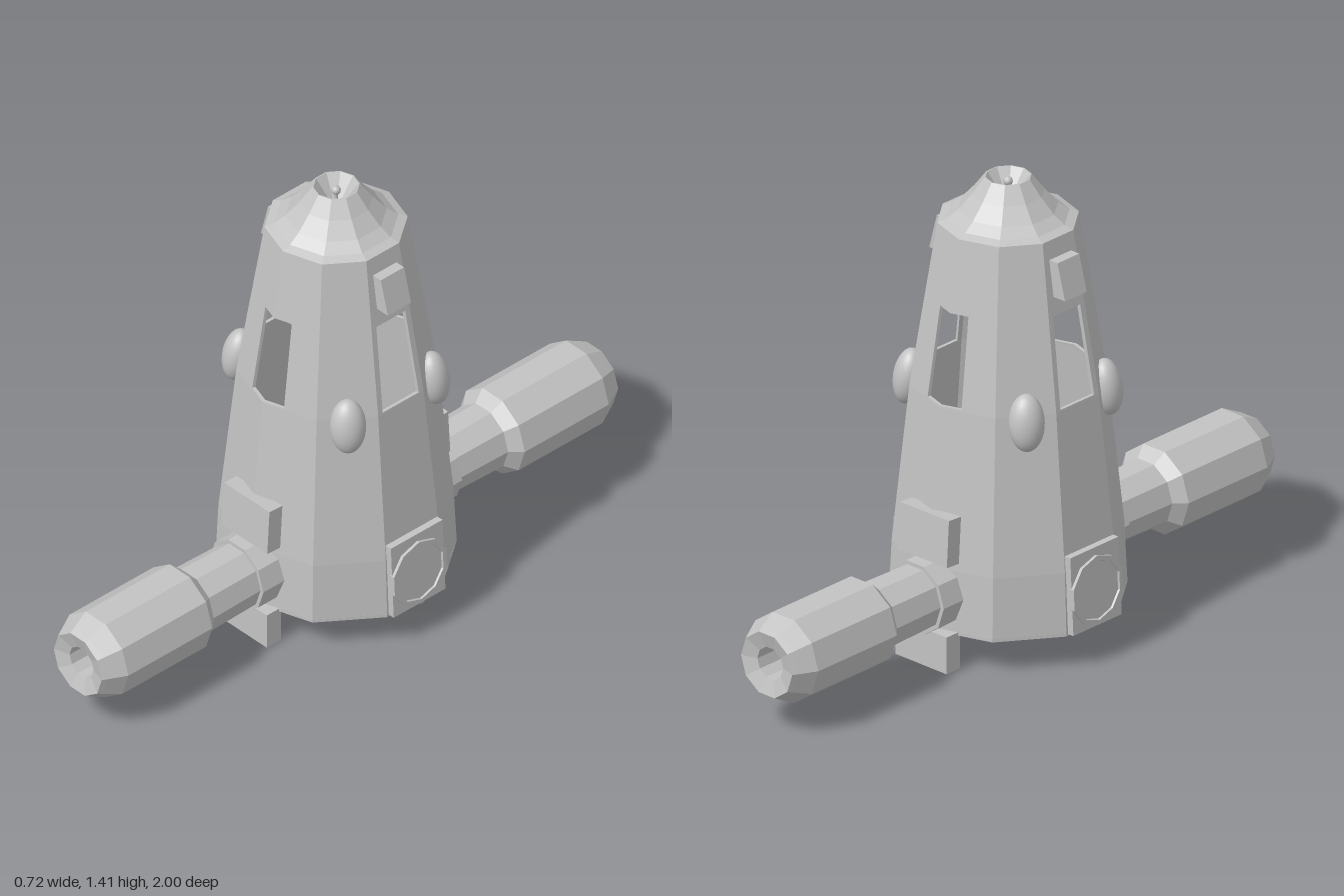
import * as THREE from 'three';

const SIDES = 10, HALF = Math.PI / SIDES, WALL = 0.01;
const BORE = 0.05, BORE_Y = 0.217;
// Tower profile: height and corner radius, bottom to top
const PROFILE = [[0.11, 0.345], [0.3, 0.336], [0.78, 0.285], [1.28, 0.205]];

export function createModel() {
  const model = new THREE.Group();
  const grey = new THREE.MeshStandardMaterial({ color: 0xc3c3c3 });
  grey.name = 'grey';

  const add = (parent, name, geometry, x = 0, y = 0, z = 0, tilt = 0) => {
    const mesh = new THREE.Mesh(geometry, grey);
    mesh.name = name;
    mesh.position.set(x, y, z);
    mesh.rotation.x = tilt;
    parent.add(mesh);
  };
  const turned = (name, angle) => {
    const g = new THREE.Group();
    g.name = name;
    g.rotation.y = angle;
    model.add(g);
    return g;
  };
  const flat = (geometry) => {
    const g = geometry.index ? geometry.toNonIndexed() : geometry;
    g.computeVertexNormals();
    return g;
  };
  const lathe = (pts, start = 0) =>
    flat(new THREE.LatheGeometry(pts.map(([r, y]) => new THREE.Vector2(r, y)), SIDES, start));

  // Corner radius of the tower at a height, its apothem and half face width
  const radius = (y) => {
    const i = y < PROFILE[1][0] ? 0 : y < PROFILE[2][0] ? 1 : 2;
    const [ya, ra] = PROFILE[i], [yb, rb] = PROFILE[i + 1];
    return ra + (rb - ra) * (y - ya) / (yb - ya);
  };
  const apothem = (y) => radius(y) * Math.cos(HALF);
  const half = (y) => radius(y) * Math.sin(HALF);

  // One wall panel; a notch is cut into the corner on the given side
  function panel(band, side = 0, notch = [], hole = null) {
    const y0 = PROFILE[band][0], y1 = PROFILE[band + 1][0];
    const pts = [[-half(y0), y0], [half(y0), y0]];
    if (side) notch.forEach(([w, y]) => pts.push([half(y) - w / Math.cos(HALF), y]));
    pts.push([half(y1), y1], [-half(y1), y1]);
    const shape = new THREE.Shape(pts.map(([u, y]) => new THREE.Vector2(side < 0 ? -u : u, y)));
    if (hole) shape.holes.push(new THREE.Path(hole.map(([u, y]) => new THREE.Vector2(u, y))));
    const geo = new THREE.ExtrudeGeometry(shape, { depth: WALL, bevelEnabled: false });
    const p = geo.attributes.position;
    for (let i = 0; i < p.count; i++) {
      const y = p.getY(i), a = apothem(y), d = a - WALL + p.getZ(i);
      p.setXYZ(i, p.getX(i) * d / a, y, d);
    }
    return flat(geo);
  }

  // Hollow tower with four windows and two gun openings
  const windowNotch = [[0, 0.785], [0.066, 0.785], [0.055, 1.06], [0, 1.06]];
  const windowHole = [[-0.07, 0.785], [0.07, 0.785], [0.056, 1.06], [-0.056, 1.06]];
  const boreNotch = [];
  for (let i = 0; i <= 8; i++) {
    const t = -Math.PI / 2 + i * Math.PI / 8;
    boreNotch.push([BORE * Math.cos(t), BORE_Y + BORE * Math.sin(t)]);
  }
  for (let i = 0; i < SIDES; i++) {
    const side = i % 5 === 0 ? -1 : i % 5 === 4 ? 1 : 0;
    const wall = turned('towerWall', HALF * (2 * i + 1));
    add(wall, 'lowerWall', panel(0, side, boreNotch));
    add(wall, 'middleWall', panel(1));
    add(wall, 'upperWall', panel(2, side, windowNotch, i % 5 === 2 ? windowHole : null));
    // Domes on the diagonal walls
    if (i % 5 === 1 || i % 5 === 3) {
      const dome = new THREE.SphereGeometry(1, 24, 16).scale(0.052, 0.086, 0.045);
      add(wall, 'dome', dome, 0, 0.765, 0.284, -0.14);
    }
  }

  // Floor with four curved ridges beneath
  add(model, 'floor', lathe([[0, 0.105], [0.345, 0.105], [0.345, 0.116], [0, 0.116]]));
  for (let i = 0; i < 4; i++) {
    const ridge = turned('floorRidge', i * Math.PI / 2);
    const arc = new THREE.TorusGeometry(0.17, 0.008, 6, 10, 0.9).rotateZ(-0.45).rotateX(Math.PI / 2);
    add(ridge, 'ridgeArc', arc, 0, 0.104, 0);
  }

  // Flared cap with a funnel in the top and a small tip
  add(model, 'cap', lathe([
    [0, 1.27], [0.205, 1.275], [0.205, 1.28], [0.178, 1.29], [0.145, 1.315],
    [0.105, 1.36], [0.068, 1.41], [0.065, 1.41], [0, 1.32],
  ]));
  add(model, 'capTip', new THREE.SphereGeometry(0.014, 12, 8), 0, 1.393, 0);
  add(model, 'capTipStem', new THREE.CylinderGeometry(0.005, 0.005, 0.07, 8), 0, 1.357, 0);

  // Front and back guns, each with a foot and a block above
  const barrel = [
    [BORE, 0.28], [0.112, 0.28], [0.112, 0.385], [0.1, 0.385], [0.104, 0.57],
    [0.136, 0.605], [0.136, 0.93], [0.108, 0.985], [0.1, 1], [BORE, 0.985], [BORE, 0.28],
  ];
  for (const angle of [0, Math.PI]) {
    const gun = turned('gun', angle);
    add(gun, 'barrel', lathe(barrel, Math.PI / 2).rotateX(Math.PI / 2), 0, BORE_Y, 0);
    add(gun, 'foot', new THREE.BoxGeometry(0.2, 0.115, 0.055), 0, 0.0575, 0.333);
    add(gun, 'gunBlock', new THREE.BoxGeometry(0.19, 0.145, 0.05), 0, 0.4, 0.325, -0.06);
  }

  // Side hatches and the small boxes over the side windows
  const hatchRing = [[0.106, -0.01], [0.106, 0.01], [0.092, 0.01], [0.09, 0.004], [0, 0.004]];
  for (const angle of [Math.PI / 2, -Math.PI / 2]) {
    const flank = turned('flank', angle);
    add(flank, 'hatchPlate', new THREE.BoxGeometry(0.2, 0.24, 0.04), 0, 0.23, 0.323, -0.05);
    add(flank, 'hatch', lathe(hatchRing).rotateX(Math.PI / 2), 0, 0.222, 0.343, -0.05);
    const box = new THREE.BoxGeometry(0.09, 0.11, 0.06);
    const p = box.attributes.position;
    for (let i = 0; i < p.count; i++) p.setZ(i, p.getZ(i) - 0.27 * p.getY(i));
    add(flank, 'windowBox', flat(box), 0, 1.17, 0.22);
  }
  return model;
}
